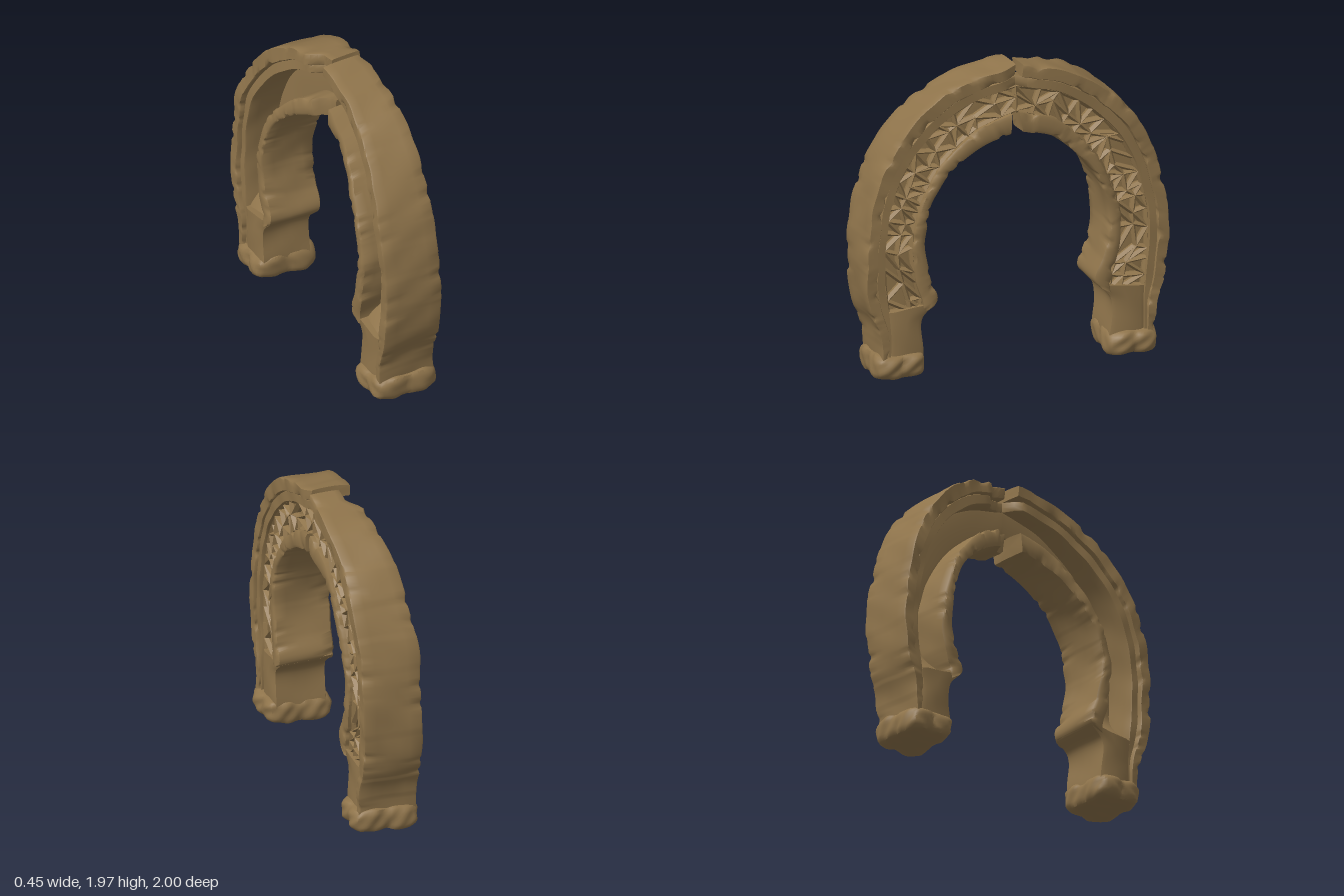
import * as THREE from 'three';
import { mergeGeometries, mergeVertices, toCreasedNormals } from 'three/addons/utils/BufferGeometryUtils.js';

const stone = new THREE.MeshStandardMaterial({ color: 0x8f744b });
stone.name = 'weathered stone';
const { smoothstep, lerp } = THREE.MathUtils;

// Matching curves from foot to crown, as [z, y] stations of one half
const curve = (pts) => new THREE.CatmullRomCurve3(pts.map(([z, y]) => new THREE.Vector3(0, y, z)));
const OUTER = curve([[.89, .13], [.91, .32], [.965, .47], [.99, .65], [.985, .9], [.95, 1.13], [.885, 1.35], [.765, 1.56], [.585, 1.75], [.35, 1.885], [0, 1.96]]);
const RIM = curve([[.85, .13], [.85, .32], [.89, .47], [.915, .65], [.91, .9], [.88, 1.1], [.82, 1.3], [.71, 1.49], [.54, 1.67], [.32, 1.805], [0, 1.885]]);
const STEP = curve([[.83, .13], [.83, .32], [.84, .47], [.86, .65], [.86, .9], [.83, 1.08], [.77, 1.27], [.67, 1.44], [.51, 1.61], [.3, 1.745], [0, 1.82]]);
const PANEL = curve([[.63, .13], [.63, .32], [.615, .47], [.66, .65], [.68, .9], [.65, 1.04], [.6, 1.18], [.52, 1.32], [.4, 1.46], [.24, 1.58], [0, 1.66]]);
const INNER = curve([[.61, .13], [.62, .38], [.52, .5], [.57, .66], [.605, .85], [.585, 1.03], [.545, 1.15], [.46, 1.28], [.35, 1.39], [.2, 1.48], [.02, 1.53]]);

function seeded(seed) {
  return () => {
    seed = (seed * 16807) % 2147483647;
    return seed / 2147483647;
  };
}

// Gentle weathering that depends only on position
function weather(p, amount) {
  const { x, y, z } = p;
  p.x += amount * (Math.sin(9 * y + 7 * z) + 0.7 * Math.sin(23 * y - 19 * z + 3));
  p.y += amount * (Math.sin(11 * x + 8 * z + 1) + 0.6 * Math.sin(27 * z + 13 * x));
  p.z += amount * (Math.sin(10 * y + 12 * x) + 0.6 * Math.sin(25 * y - 17 * x + 2));
  return p;
}

// The back of the arch gets shallower towards the crown
function backX(t) {
  const k = Math.max(0, (OUTER.getPoint(t).y - 1.2) / 0.76);
  return -0.195 + 0.105 * k * k;
}

function finish(positions, index) {
  const g = new THREE.BufferGeometry();
  g.setAttribute('position', new THREE.Float32BufferAttribute(positions, 3));
  g.setIndex(index);
  return toCreasedNormals(g, 0.85);
}

// Bevelled section swept between two curves; lo and hi give its x range at t
function sweep(a, b, t0, t1, lo, hi, side, { n = 64, rough = 0.004, blocks = 0, bevel = 0.06 } = {}) {
  const U = [bevel, 0.5, 1 - bevel], V = [0.03, 0.22, 0.4, 0.6, 0.78, 0.97];
  const ring = [...U.map((u) => [u, 0]), ...V.map((v) => [1, v]),
    ...U.map((u) => [1 - u, 1]), ...V.map((v) => [0, 1 - v])];
  const m = ring.length, positions = [], index = [];
  const tri = (i, j, k) => (side > 0 ? index.push(i, j, k) : index.push(i, k, j));
  const rand = seeded(side > 0 ? 71 : 1313);
  const shifts = Array.from({ length: 20 }, () => rand() - 0.5);
  for (let i = 0; i <= n; i++) {
    const t = t0 + (t1 - t0) * i / n;
    const pa = a.getPoint(t), pb = b.getPoint(t);
    const block = blocks ? shifts[Math.floor(t * blocks + 0.4)] : 0;
    for (const [u, v] of ring) {
      // Broken blocks shift slightly and lose pieces of their long edges
      const edge = Math.abs(2 * v - 1) ** 4 * Math.abs(2 * u - 1);
      const loss = blocks ? Math.max(0, Math.sin(41 * t + 5 * side + 2 * v) * Math.sin(67 * t + 3 * u) - 0.35) * edge : 0;
      const p = pa.clone().lerp(pb, u + block * 0.2 * Math.abs(u - 0.5) - 0.35 * loss * Math.sign(u - 0.5));
      p.x = lo(t) + (hi(t) - lo(t)) * v + (block - 2 * loss) * 0.012 * (v - 0.5);
      p.z *= side;
      weather(p, rough);
      positions.push(p.x, p.y, p.z);
    }
  }
  for (let i = 0; i < n; i++) {
    for (let j = 0; j < m; j++) {
      const p = i * m + j, q = i * m + (j + 1) % m;
      tri(p, q, q + m);
      tri(p, q + m, p + m);
    }
  }
  // End caps
  for (const [row, top] of [[0, false], [n, true]]) {
    const c = positions.length / 3, s = row * m, mid = new THREE.Vector3();
    for (let j = 0; j < m; j++) mid.add(new THREE.Vector3().fromArray(positions, (s + j) * 3));
    positions.push(...mid.divideScalar(m).toArray());
    for (let j = 0; j < m; j++) {
      const p = s + j, q = s + (j + 1) % m;
      top ? tri(c, p, q) : tri(c, q, p);
    }
  }
  return finish(positions, index);
}

// Irregular bars crossing the panel
function latticeGeometry(side) {
  const rand = seeded(side > 0 ? 977 : 4241), cols = 17, rows = 2, bars = [], nodes = [];
  for (let i = 0; i <= cols; i++) {
    nodes.push([]);
    for (let r = 0; r <= rows; r++) {
      const end = i === 0 || i === cols;
      const t = 0.175 + 0.825 * (i + (end ? 0 : (rand() - 0.5) * 0.5)) / cols;
      const u = r / rows + (r === 1 ? (rand() - 0.5) * 0.35 : 0);
      const p = PANEL.getPoint(t).lerp(STEP.getPoint(t), u);
      p.z *= side;
      nodes[i].push(p);
    }
  }
  const bar = (p, q) => {
    const d = q.clone().sub(p), mid = p.clone().add(q).multiplyScalar(0.5);
    // Five-sided bar with a ridge towards the open face
    const g = new THREE.CylinderGeometry(1, 1, d.length() + 0.012, 5, 1);
    g.rotateY(Math.PI / 2);
    g.scale(0.035, 1, 0.014 + rand() * 0.004);
    g.rotateX(Math.atan2(d.z, d.y));
    g.translate(0.112 + rand() * 0.008, mid.y, mid.z);
    bars.push(toCreasedNormals(g, 0.5));
  };
  for (let i = 0; i <= cols; i++) {
    for (let r = 0; r <= rows; r++) {
      const p = nodes[i][r];
      if (r < rows && rand() < 0.85) bar(p, nodes[i][r + 1]);
      if (i === cols) continue;
      bar(p, nodes[i + 1][r]);
      if (r < rows) rand() < 0.5 ? bar(p, nodes[i + 1][r + 1]) : bar(nodes[i][r + 1], nodes[i + 1][r]);
    }
  }
  return mergeGeometries(bars);
}

// Worn block with swollen corners and pinched faces
function footGeometry(side) {
  const g = new THREE.BoxGeometry(0.4, 0.16, 0.31, 18, 8, 14);
  g.deleteAttribute('normal');
  g.deleteAttribute('uv');
  const pos = g.attributes.position, p = new THREE.Vector3();
  for (let i = 0; i < pos.count; i++) {
    p.fromBufferAttribute(pos, i);
    const a = p.x / 0.2, b = p.y / 0.08, c = p.z / 0.155;
    const round = 1 - 0.1 * b ** 4;
    p.x *= (1 + 0.08 * Math.sin(Math.PI * Math.abs(c)) - 0.04 * c ** 6) * round;
    p.z *= (1 + 0.08 * Math.sin(Math.PI * Math.abs(a)) - 0.08 * a ** 6) * round;
    p.y *= 1 - 0.12 * Math.max(a ** 6, c ** 6) + 0.05 * Math.cos(2 * Math.PI * a + 3);
    p.y += 0.088;
    p.z += 0.76 * side;
    weather(p, 0.005);
    p.x += 0.005 * Math.sin(61 * p.y + 47 * p.z);
    p.z += 0.004 * Math.sin(57 * p.x + 43 * p.y);
    p.y = Math.max(0, p.y);
    pos.setXYZ(i, p.x, p.y, p.z);
  }
  return toCreasedNormals(mergeVertices(g), 0.8);
}

function half(side) {
  const group = new THREE.Group();
  group.name = side > 0 ? 'frontHalf' : 'backHalf';
  const add = (name, geometry) => {
    const mesh = new THREE.Mesh(geometry, stone);
    mesh.name = name;
    group.add(mesh);
  };
  // The back half is chipped away beside the crown
  const chip = (t) => (side < 0 ? 0.09 * smoothstep(t, 0.935, 0.965) : 0);
  const crown = side > 0 ? 0.998 : 0.99;
  // Only the panel depth of the moulding bridges the break
  const mouldingBack = (t) => lerp(backX(t) + 0.03 + chip(t), 0.06, smoothstep(t, crown - 0.015, crown));
  // The recess floor rises to meet the pillar
  const recess = (t) => lerp(-0.165, 0.055, smoothstep(t, 0.15, 0.32));
  const edge = (t) => 0.188 - 0.03 * smoothstep(t, 0.97, 1) * (side > 0);
  add('outerRim', sweep(RIM, OUTER, 0, crown, (t) => backX(t) + chip(t), edge, side, { n: 110, blocks: 11 }));
  add('innerMoulding', sweep(STEP, RIM, 0, 1, mouldingBack, (t) => lerp(0.172, 0.145, smoothstep(t, 0.97, 1)), side, { n: 90, rough: 0.003 }));
  add('innerRim', sweep(INNER, PANEL, 0.17, side > 0 ? 0.985 : 0.995, (t) => backX(t) + 0.005 + chip(t), () => 0.18, side, { n: 90, blocks: 9, bevel: 0.16 }));
  add('backPanel', sweep(PANEL, STEP, 0.16, 1, recess, () => 0.095, side, { rough: 0.001 }));
  add('pillar', sweep(INNER, STEP, 0, 0.18, () => -0.178, () => 0.168, side, { n: 18, rough: 0.003, bevel: 0.12 }));
  add('lattice', latticeGeometry(side));
  add('foot', footGeometry(side));
  return group;
}

export function createModel() {
  const model = new THREE.Group();
  model.name = 'ruinedArch';
  model.add(half(1), half(-1));
  return model;
}
